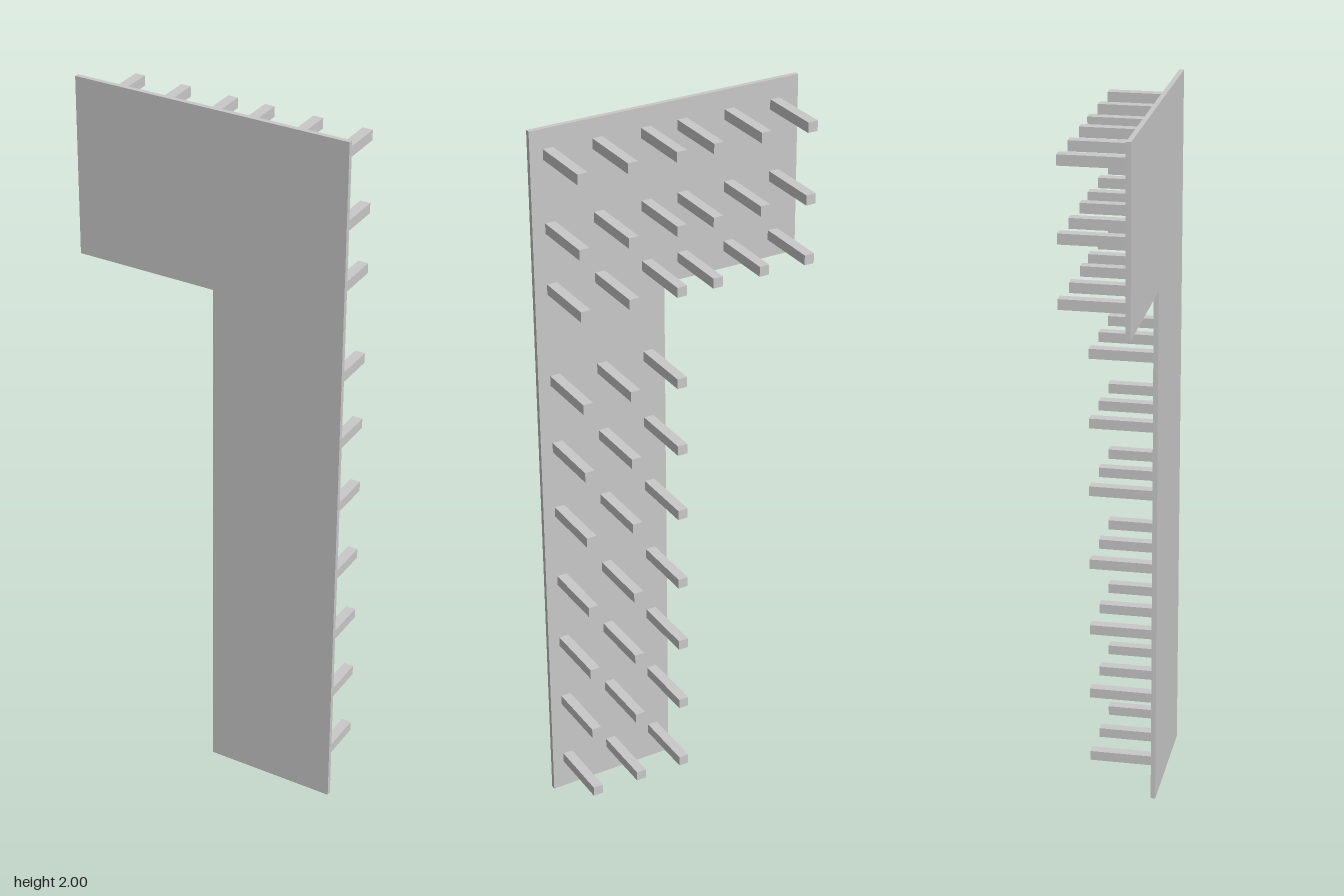
import * as THREE from 'three';

export function createModel() {
  const model = new THREE.Group();
  const lightGrey = new THREE.MeshStandardMaterial({ color: 0xc8c8c8 });
  lightGrey.name = 'lightGrey';

  // Thin L-shaped face plate, leaning very slightly
  const outline = [[-0.388, 1.503], [0.011, 1.503], [0.005, 0], [0.378, 0], [0.387, 2], [-0.386, 2]];
  const shape = new THREE.Shape(outline.map(([x, y]) => new THREE.Vector2(x, y)));
  const plate = new THREE.Mesh(
    new THREE.ExtrudeGeometry(shape, { depth: 0.013, bevelEnabled: false }), lightGrey);
  plate.position.z = 0.084;
  plate.name = 'facePlate';
  model.add(plate);

  // Square pegs in rows on the back; the wide top carries six per row
  const pegs = new THREE.Group();
  pegs.name = 'backPegs';
  const pegGeometry = new THREE.BoxGeometry(0.028, 0.028, 0.181);
  const rows = [1.933, 1.735, 1.567, 1.306, 1.108, 0.911, 0.694, 0.494, 0.297, 0.098];
  const columns = [0.336, 0.199, 0.062, -0.043, -0.181, -0.317];
  rows.forEach((y, i) => {
    const lean = i < 3 ? 0 : -0.005 * (1.5 - y) / 1.5;
    columns.slice(0, i < 3 ? 6 : 3).forEach((x) => {
      const peg = new THREE.Mesh(pegGeometry, lightGrey);
      peg.name = 'peg';
      peg.position.set(x + lean, y, -0.0065);
      pegs.add(peg);
    });
  });
  model.add(pegs);
  return model;
}
